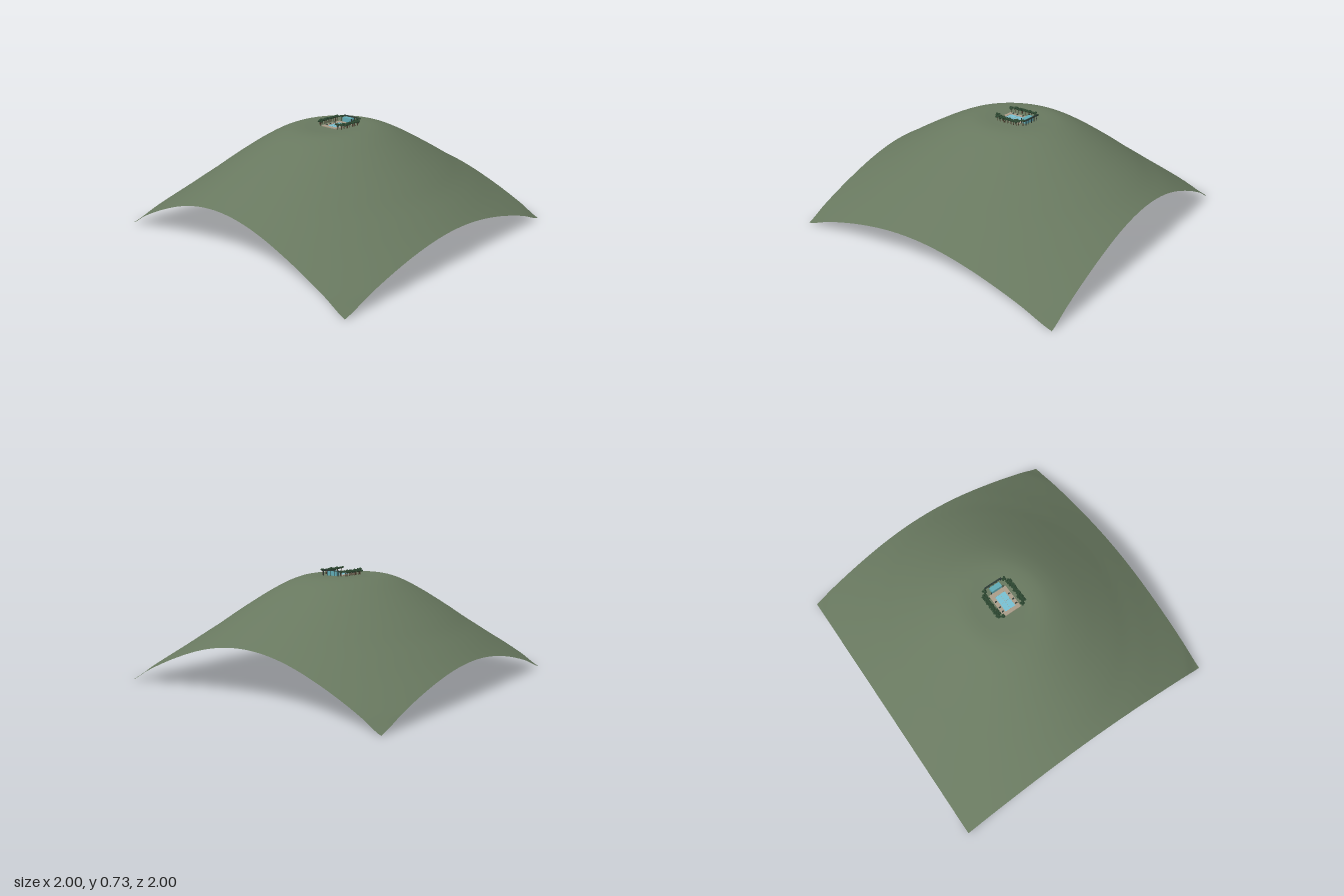
import * as THREE from 'three';

// Radial height of the hill, sampled on the long axis
const RADII = [0, 0.15, 0.22, 0.28, 0.35, 0.4, 0.5, 0.6, 0.7, 0.8, 0.9, 1, 1.1, 1.2, 1.31, 1.4];
const HEIGHTS = [0.69, 0.69, 0.69, 0.682, 0.658, 0.634, 0.576, 0.51, 0.44, 0.366, 0.296, 0.225, 0.156, 0.086, 0.005, 0];
const PAD = 0.69;

const paint = (color, extra = {}) => new THREE.MeshStandardMaterial({ color, ...extra });
const MAT = {
  grass: paint(0x68785f, { side: THREE.DoubleSide }),
  stone: paint(0xa89c88),
  water: paint(0x78c0d2),
  glass: paint(0x5fa9b4),
  dark: paint(0x2c3a35),
  bark: paint(0x4a3c2e),
  leaf: paint(0x2c4630, { flatShading: true }),
};

let seed = 7;
const rand = () => (seed = (seed * 16807) % 2147483647) / 2147483647;

function add(parent, name, geometry, material, x = 0, y = 0, z = 0) {
  const mesh = new THREE.Mesh(geometry, material);
  mesh.name = name;
  mesh.position.set(x, y, z);
  parent.add(mesh);
  return mesh;
}

const box = (parent, name, mat, w, h, d, x, y, z) =>
  add(parent, name, new THREE.BoxGeometry(w, h, d), mat, x, y, z);

// Square sheet of ground, raised into a slightly elliptical hill
function createHill() {
  const profile = new THREE.CubicInterpolant(RADII, HEIGHTS, 1);
  const geometry = new THREE.PlaneGeometry(2, 2, 96, 96).rotateX(-Math.PI / 2);
  const pos = geometry.attributes.position;
  for (let i = 0; i < pos.count; i++) {
    const x = pos.getX(i), z = pos.getZ(i);
    const dx = x + 0.025 * (1 - x * x);
    const dz = z * (0.9 - 0.06 * Math.abs(z));
    pos.setY(i, Math.max(0, profile.evaluate(Math.hypot(dx, dz))[0]));
  }
  geometry.computeVertexNormals();
  return geometry;
}

// Small tree: trunk and a cluster of faceted leaf clumps
function createTree(x, z, height) {
  const tree = new THREE.Group();
  tree.name = 'tree';
  tree.position.set(x, PAD, z);
  add(tree, 'trunk', new THREE.CylinderGeometry(0.0015, 0.0025, height * 0.7, 6), MAT.bark, 0, height * 0.35, 0);
  for (let i = 0; i < 4; i++) {
    const a = i * 1.57 + rand();
    const clump = add(tree, 'leaves', new THREE.IcosahedronGeometry(0.009, 0), MAT.leaf,
      Math.cos(a) * 0.009, height * (0.64 + 0.18 * rand()), Math.sin(a) * 0.009);
    clump.scale.y = 0.7;
  }
  return tree;
}

export function createModel() {
  const model = new THREE.Group();
  model.name = 'hilltopPool';
  add(model, 'hill', createHill(), MAT.grass);

  // Terrace frame around the pool
  const frame = new THREE.Shape();
  frame.moveTo(-0.065, -0.085).lineTo(0.065, -0.085).lineTo(0.065, 0.09).lineTo(-0.065, 0.09).closePath();
  const opening = new THREE.Path();
  opening.moveTo(-0.038, -0.06).lineTo(-0.038, 0.06).lineTo(0.038, 0.06).lineTo(0.038, -0.06).closePath();
  frame.holes.push(opening);
  const terrace = new THREE.ExtrudeGeometry(frame, { depth: 0.006, bevelEnabled: false }).rotateX(-Math.PI / 2);
  add(model, 'terrace', terrace, MAT.stone, 0, PAD - 0.001, 0);

  // Pool sunk through the pad
  box(model, 'pool', MAT.water, 0.076, 0.022, 0.12, 0, PAD - 0.008, 0);
  box(model, 'poolDivider', MAT.stone, 0.001, 0.001, 0.12, 0, PAD + 0.0035, 0);
  box(model, 'poolDivider', MAT.stone, 0.076, 0.001, 0.001, 0, PAD + 0.0035, 0);

  // Pavilion at the back with posts and a rear wall
  const pavilion = new THREE.Group();
  pavilion.name = 'pavilion';
  model.add(pavilion);
  box(pavilion, 'glassRoom', MAT.glass, 0.076, 0.034, 0.034, 0, PAD + 0.017, -0.108);
  box(pavilion, 'rearBeam', MAT.dark, 0.13, 0.006, 0.01, 0, PAD + 0.036, -0.138);
  for (const x of [-0.06, -0.03, 0, 0.03, 0.06]) {
    box(pavilion, 'post', MAT.dark, 0.004, 0.036, 0.004, x, PAD + 0.018, -0.138);
  }
  for (const side of [-1, 1]) {
    box(pavilion, 'sidePost', MAT.dark, 0.004, 0.036, 0.004, side * 0.045, PAD + 0.018, -0.09);

    // Loungers along the terrace
    for (const z of [-0.03, 0.015, 0.05]) {
      box(model, 'lounger', MAT.dark, 0.014, 0.004, 0.008, side * 0.052, PAD + 0.008, z);
    }

    // Double row of trees on each side
    for (let i = 0; i < 9; i++) {
      const z = -0.125 + i * 0.026;
      const bow = 0.016 * Math.sin((Math.PI * i) / 8);
      model.add(createTree(side * (0.076 + bow + 0.008 * (i % 2)), z, 0.041 + 0.006 * rand()));
      if (i > 0 && i < 8) model.add(createTree(side * 0.1, z + 0.008, 0.034 + 0.006 * rand()));
    }
  }
  return model;
}
